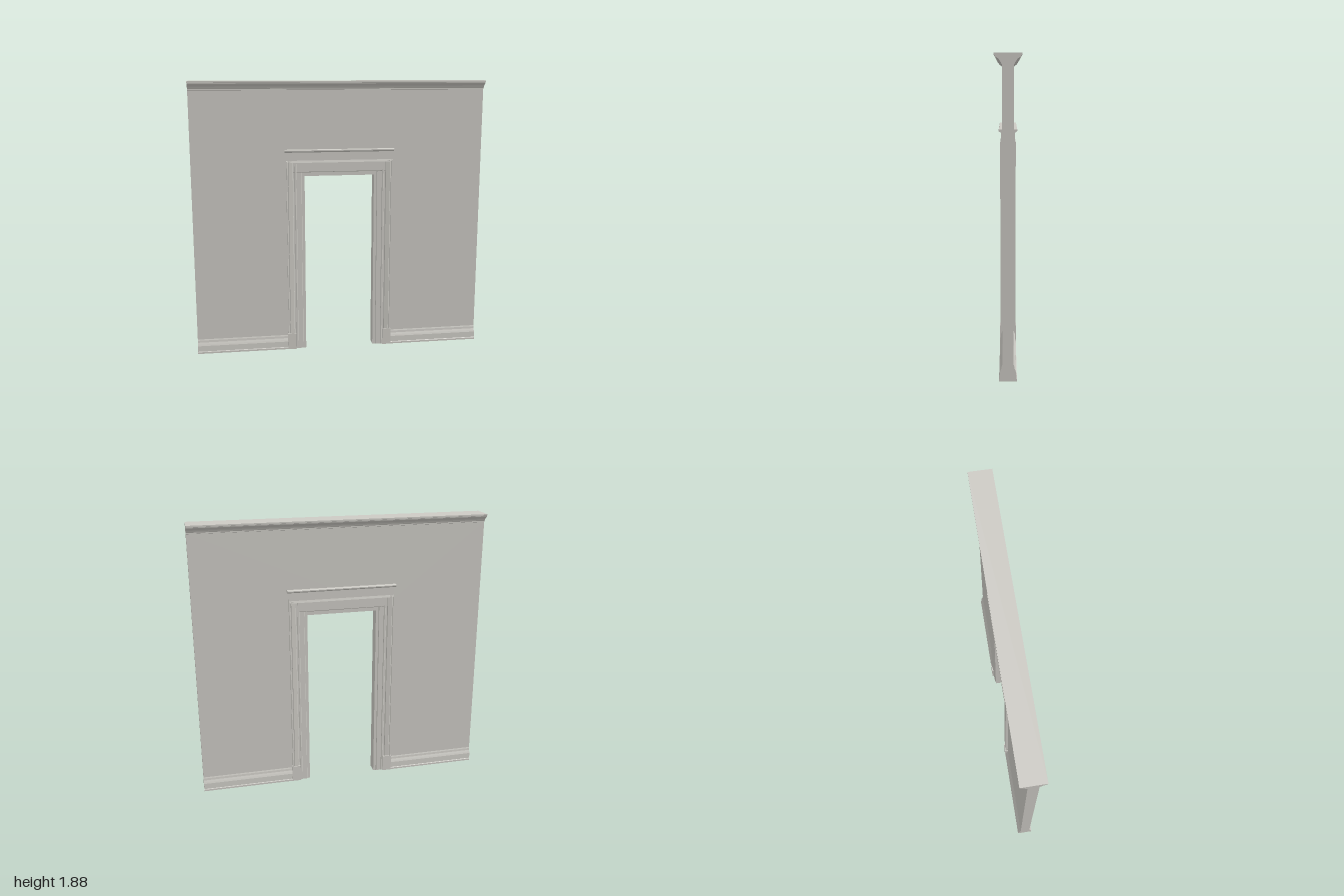
import * as THREE from 'three';

const plaster = new THREE.MeshStandardMaterial({ color: 0xcccac4 });
plaster.name = 'warm grey plaster';

const shapeOf = (pts) => new THREE.Shape(pts.map(([x, y]) => new THREE.Vector2(x, y)));
const extrude = (pts, depth) =>
  new THREE.ExtrudeGeometry(shapeOf(pts), { depth, bevelEnabled: false });

// Moulding along x, same on both wall faces; half profile is [depth, height]
function rail(half, x0, x1) {
  const back = half.map(([d, y]) => [-d, y]).reverse();
  return extrude([...half, ...back], x1 - x0).rotateY(Math.PI / 2).translate(x0, 0, 0);
}

// Upright moulding, same on both wall faces; half profile is [x, depth]
function post(half, side, y0, y1) {
  const front = half.map(([x, d]) => [x * side, d]);
  const back = half.map(([x, d]) => [x * side, -d]).reverse();
  return extrude([...front, ...back], y1 - y0).rotateX(-Math.PI / 2).translate(0, y0, 0);
}

export function createModel() {
  const group = new THREE.Group();
  const add = (name, geometry) => {
    const mesh = new THREE.Mesh(geometry, plaster);
    mesh.name = name;
    group.add(mesh);
  };

  // Wall with the doorway cut out
  add('wall', extrude([
    [-1, 0.1], [-0.3, 0.1], [-0.3, 1.26], [0.3, 1.26], [0.3, 0.1],
    [1, 0.1], [1, 1.82], [-1, 1.82],
  ], 0.066).translate(0, 0, -0.033));

  // Crown moulding: bead, cove and top fillet
  add('crownMoulding', rail([
    [0.033, 1.815], [0.038, 1.817], [0.038, 1.824], [0.042, 1.827],
    [0.045, 1.834], [0.051, 1.842], [0.059, 1.848], [0.067, 1.853],
    [0.072, 1.858], [0.073, 1.863], [0.078, 1.865], [0.078, 1.875],
  ], -1, 1));

  // Skirting boards either side of the doorway
  const skirting = [
    [0.052, 0], [0.052, 0.012], [0.049, 0.016], [0.047, 0.055],
    [0.043, 0.066], [0.038, 0.078], [0.036, 0.092], [0.033, 0.1],
  ];
  add('leftSkirting', rail(skirting, 0.35, 1));
  add('rightSkirting', rail(skirting, -1, -0.35));

  // Door casing: jamb, inner band, groove and outer band
  const casing = [
    [0.24, 0.036], [0.259, 0.036], [0.262, 0.041], [0.295, 0.041],
    [0.298, 0.045], [0.307, 0.045], [0.309, 0.042], [0.318, 0.042],
    [0.322, 0.047], [0.35, 0.05], [0.353, 0.046], [0.357, 0.046],
    [0.359, 0.05], [0.365, 0.05],
  ];
  for (const [word, side] of [['left', 1], ['right', -1]]) {
    add(word + 'Casing', post(casing, side, 0, 1.34));
    add(word + 'Plinth', post([[0.31, 0.054], [0.37, 0.054]], side, 0, 0.115));
  }

  // Head of the doorway
  add('headJamb', rail([[0.036, 1.238], [0.036, 1.27]], -0.25, 0.25));
  add('headArchitrave', rail([
    [0.041, 1.264], [0.043, 1.268], [0.043, 1.33],
  ], -0.32, 0.32));
  add('frieze', rail([
    [0.05, 1.33], [0.046, 1.345], [0.046, 1.404],
  ], -0.365, 0.365));
  add('headCap', rail([
    [0.048, 1.4], [0.056, 1.405], [0.06, 1.409], [0.06, 1.416], [0.058, 1.419],
  ], -0.375, 0.375));

  return group;
}
